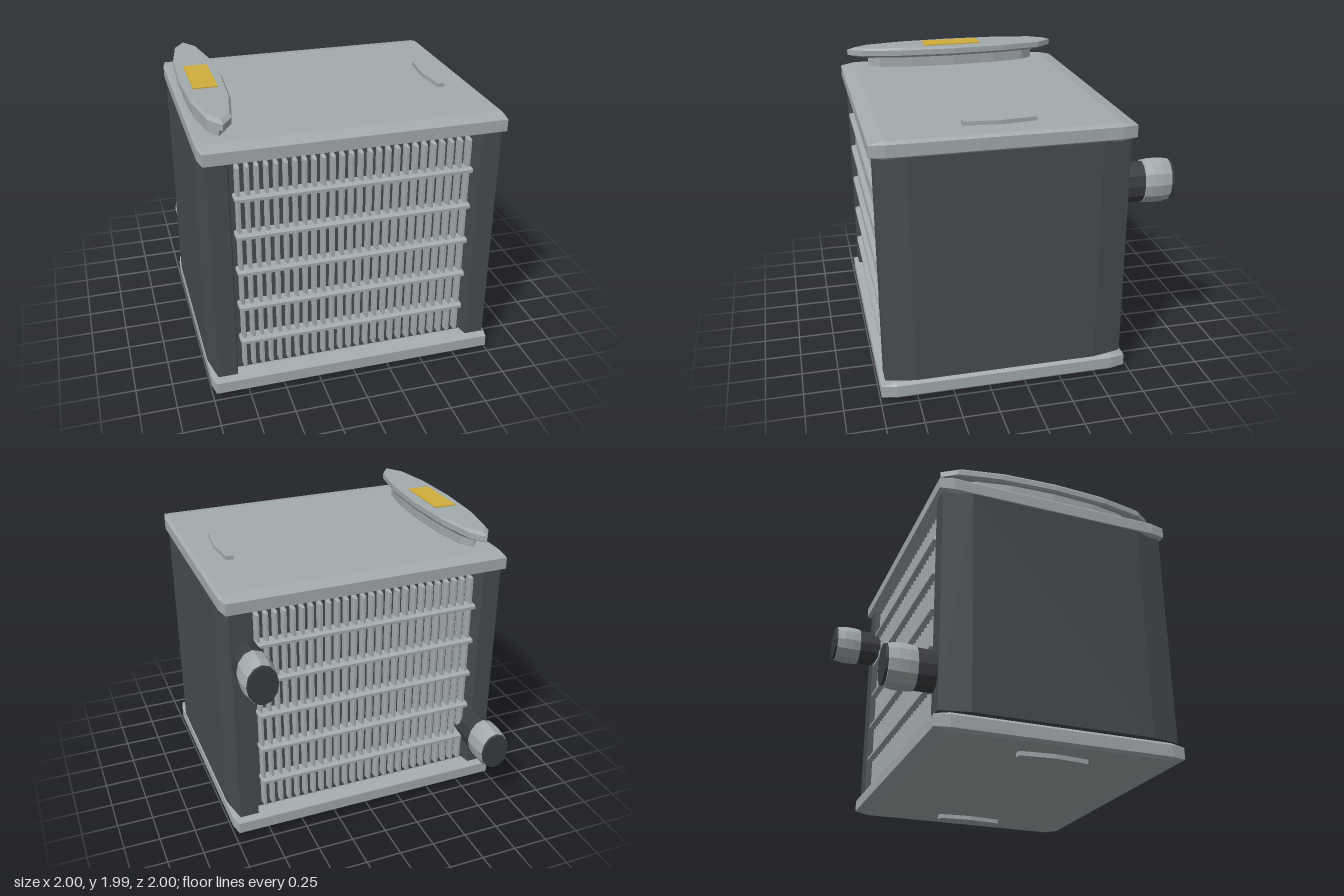
import * as THREE from 'three';
import { ConvexGeometry } from 'three/addons/geometries/ConvexGeometry.js';

const CZ = 0.145; // depth centre of the core and tanks

function material(name, color) {
  const m = new THREE.MeshStandardMaterial({ color, flatShading: true });
  m.name = name;
  return m;
}

// Box with a separate chamfer along each axis
function chamferBox(w, h, d, bx, by, bz) {
  const x = w / 2, y = h / 2, z = d / 2, pts = [];
  for (const i of [-1, 1]) for (const j of [-1, 1]) for (const k of [-1, 1]) {
    pts.push(
      new THREE.Vector3(i * x, j * (y - by), k * (z - bz)),
      new THREE.Vector3(i * (x - bx), j * y, k * (z - bz)),
      new THREE.Vector3(i * (x - bx), j * (y - by), k * z),
    );
  }
  return new ConvexGeometry(pts);
}

// Turned shape from [radius, height] pairs, listed bottom to top
function turned(profile, sides, phi = 0) {
  return new THREE.LatheGeometry(profile.map(p => new THREE.Vector2(p[0], p[1])), sides, phi);
}

export function createModel() {
  const group = new THREE.Group();
  group.name = 'radiator';
  const metal = material('light metal', 0xa3abae);
  const dark = material('dark casing', 0x484c50);
  const rubber = material('dark pipe', 0x3a3d41);
  const yellow = material('yellow label', 0xd0ae3c);

  function add(name, geometry, mat, x, y, z, parent = group) {
    const mesh = new THREE.Mesh(geometry, mat);
    mesh.name = name;
    mesh.position.set(x, y, z);
    parent.add(mesh);
    return mesh;
  }

  // Tanks above and below the core
  const tank = chamferBox(2, 0.12, 1.7, 0.02, 0.02, 0.1);
  add('topTank', tank, metal, 0, 1.776, CZ);
  add('bottomTank', tank, metal, 0, 0.09, CZ);

  // Side panels
  const panel = chamferBox(0.215, 1.59, 1.64, 0.042, 0.012, 0.2);
  for (const s of [-1, 1]) add(s > 0 ? 'leftPanel' : 'rightPanel', panel, dark, s * 0.8925, 0.945, CZ);

  // Core with upright fins and crossing rails
  add('core', new THREE.BoxGeometry(1.62, 1.62, 1.46), dark, 0, 0.94, CZ);
  const fins = new THREE.Group();
  fins.name = 'fins';
  group.add(fins);
  const fin = chamferBox(0.03, 1.5, 1.58, 0.007, 0.01, 0.03);
  const count = 26, pitch = 0.061;
  for (let i = 0; i < count; i++) {
    add('fin', fin, metal, (i - (count - 1) / 2) * pitch, 0.932, CZ, fins);
  }
  const rail = chamferBox(1.58, 0.036, 1.65, 0.01, 0.008, 0.03);
  for (let i = 0; i < 5; i++) add('rail', rail, metal, -0.003, 0.408 + i * 0.2645, CZ);

  // Filler neck, cap and label
  const neck = add('fillerNeck', turned([[0, 0], [1, 0], [1, 0.1], [0, 0.1]], 12), metal, -0.84, 1.825, CZ);
  neck.scale.set(0.118, 1, 0.65);
  const cap = add('fillerCap', turned(
    [[0, 0], [0.93, 0], [1, 0.016], [1, 0.056], [0.93, 0.072], [0, 0.072]], 12), metal, -0.84, 1.914, CZ);
  cap.scale.set(0.145, 1, 0.805);
  add('capLabel', new THREE.BoxGeometry(0.16, 0.009, 0.435), yellow, -0.84, 1.989, CZ);

  // Flat hexagonal plugs
  const plug = turned([[0, -0.025], [1, -0.025], [1, 0.025], [0, 0.025]], 6, Math.PI / 2);
  for (const [name, x, y] of [['topPlug', 0.775, 1.838], ['bottomPlug', 0.775, 0.025], ['bottomPlug', -0.785, 0.025]]) {
    add(name, plug, metal, x, y, CZ).scale.set(0.049, 1, 0.277);
  }

  // Rear pipes, each with a swollen sleeve; lengths run backwards
  const pipe = turned([[0, 0.55], [0.141, 0.55], [0.141, 0.96], [0.135, 1], [0, 1]], 12);
  const sleeve = turned([[0.139, 0.795], [0.148, 0.8], [0.155, 0.85], [0.155, 0.92], [0.143, 0.98], [0.133, 0.985]], 12);
  for (const g of [pipe, sleeve]) g.rotateX(-Math.PI / 2).scale(0.75, 1, 1);
  for (const [name, x, y] of [['upper', 0.85, 1.38], ['lower', -0.85, 0.455]]) {
    add(name + 'Pipe', pipe, rubber, x, y, 0);
    add(name + 'PipeSleeve', sleeve, metal, x, y, 0);
  }
  return group;
}
